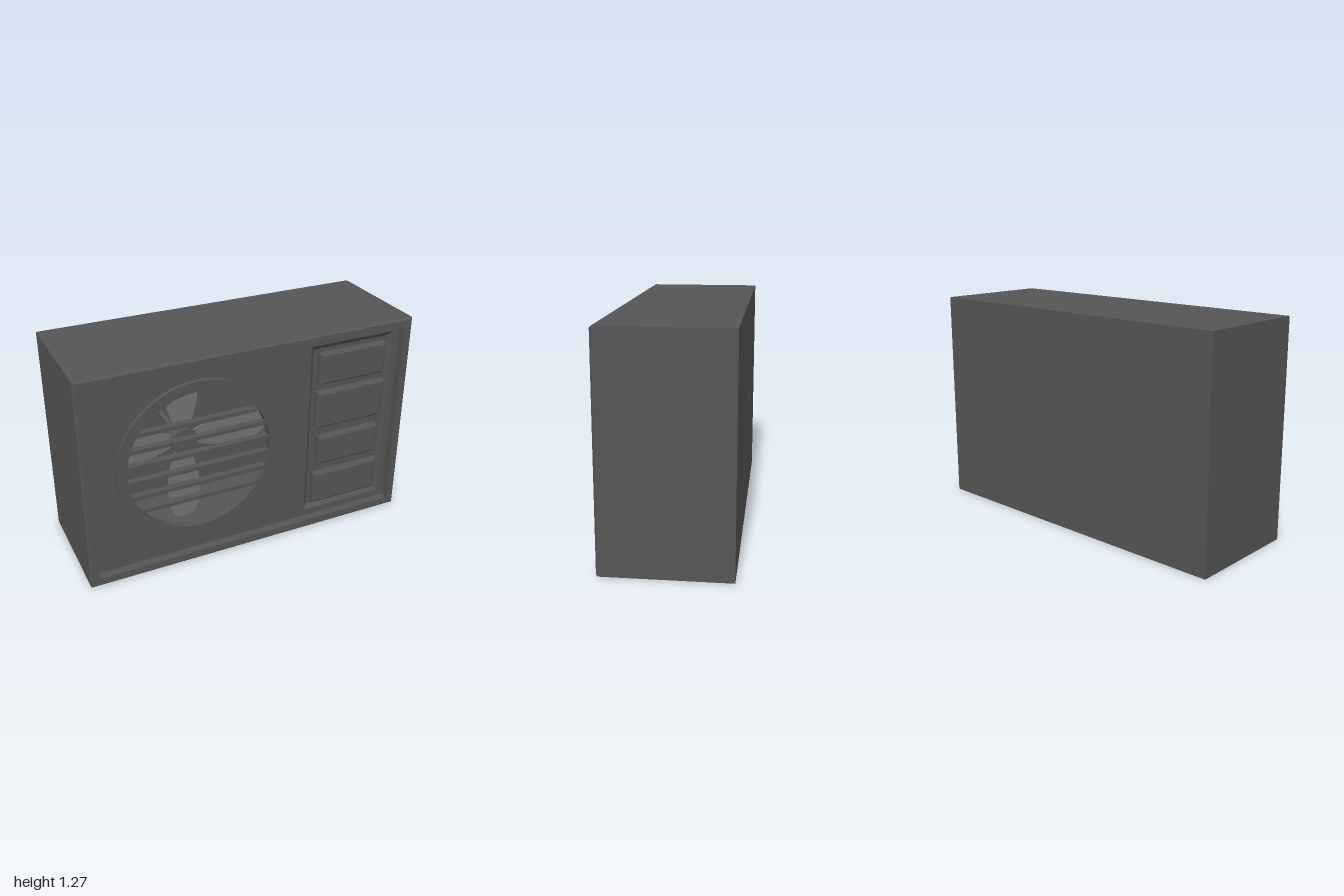
import * as THREE from 'three';

const DARK = new THREE.MeshStandardMaterial({ color: 0x555555, side: THREE.DoubleSide });
const LIGHT = new THREE.MeshStandardMaterial({ color: 0x727272, side: THREE.DoubleSide });

const W = 2, H = 1.27, Z = 0.352;      // case width, height and half depth
const PANEL_Z = 0.302;                 // recessed front panel
const FAN = { x: -0.32, y: 0.643, hole: 0.427, rim: 0.487 };
const VENT = [0.368, 0.908, 0.094, 1.184]; // x0, x1, y0, y1

// Flat-sided loft through [inset, z] steps of a rectangle, optionally capped
function rectLoft([x0, x1, y0, y1], steps, capStart, capEnd) {
  const rings = steps.map(([i, z]) => [
    [x0 + i, y0 + i, z], [x1 - i, y0 + i, z], [x1 - i, y1 - i, z], [x0 + i, y1 - i, z],
  ]);
  const pos = [];
  const quad = (a, b, c, d) => pos.push(...a, ...b, ...c, ...a, ...c, ...d);
  for (let s = 0; s < rings.length - 1; s++) {
    const a = rings[s], b = rings[s + 1];
    for (let k = 0; k < 4; k++) quad(a[k], a[(k + 1) % 4], b[(k + 1) % 4], b[k]);
  }
  if (capStart) quad(...[...rings[0]].reverse());
  if (capEnd) quad(...rings[rings.length - 1]);
  const geo = new THREE.BufferGeometry();
  geo.setAttribute('position', new THREE.Float32BufferAttribute(pos, 3));
  geo.computeVertexNormals();
  return geo;
}

function circlePath(r, x = 0, y = 0) {
  return new THREE.Path().absarc(x, y, r, 0, Math.PI * 2, true);
}

export function createModel() {
  const model = new THREE.Group();
  const add = (name, geo, mat = DARK, parent = model) => {
    const mesh = new THREE.Mesh(geo, mat);
    mesh.name = name;
    parent.add(mesh);
    return mesh;
  };

  // Thin case with a bevelled front rim folding in to the panel
  add('case', rectLoft([-W / 2, W / 2, 0, H],
    [[0, -Z], [0, Z - 0.01], [0.01, Z], [0.052, Z], [0.052, PANEL_Z]], true, false));

  // Front panel with the fan opening and the vent recess cut out
  const [vx0, vx1, vy0, vy1] = VENT;
  const panel = new THREE.Shape([
    new THREE.Vector2(-0.948, 0.052), new THREE.Vector2(0.948, 0.052),
    new THREE.Vector2(0.948, H - 0.052), new THREE.Vector2(-0.948, H - 0.052),
  ]);
  panel.holes.push(circlePath(FAN.hole, FAN.x, FAN.y));
  panel.holes.push(new THREE.Path([
    new THREE.Vector2(vx0, vy0), new THREE.Vector2(vx0, vy1),
    new THREE.Vector2(vx1, vy1), new THREE.Vector2(vx1, vy0),
  ]));
  add('frontPanel', new THREE.ShapeGeometry(panel, 48)).position.z = PANEL_Z;

  // Raised ring around the fan opening
  const ring = new THREE.Shape().absarc(0, 0, FAN.rim, 0, Math.PI * 2, false);
  ring.holes.push(circlePath(FAN.hole));
  add('fanRing', new THREE.ExtrudeGeometry(ring, { depth: 0.045, bevelEnabled: false, curveSegments: 48 }))
    .position.set(FAN.x, FAN.y, PANEL_Z - 0.02);

  // Horizontal slats, each cut to the chord of the opening
  for (let i = 0; i < 6; i++) {
    const y = 0.4 + i * 0.096;
    const half = Math.sqrt(FAN.hole ** 2 - (y - FAN.y) ** 2);
    add('slat', new THREE.BoxGeometry(half * 2 + 0.01, 0.022, 0.04)).position.set(FAN.x, y, PANEL_Z);
  }

  // Fan: four flat paddle blades, hub and axle through the back
  const fan = new THREE.Group();
  fan.name = 'fan';
  fan.position.set(FAN.x, FAN.y, 0);
  model.add(fan);

  const blade = new THREE.Shape();
  blade.moveTo(-0.035, 0.05);
  blade.bezierCurveTo(-0.07, 0.15, -0.095, 0.2, -0.098, 0.3);
  blade.bezierCurveTo(-0.1, 0.42, -0.1, 0.54, 0, 0.54);
  blade.bezierCurveTo(0.1, 0.54, 0.1, 0.42, 0.098, 0.3);
  blade.bezierCurveTo(0.095, 0.2, 0.07, 0.15, 0.035, 0.05);
  const bladeGeo = new THREE.ExtrudeGeometry(blade, { depth: 0.012, bevelEnabled: false, curveSegments: 10 });
  for (let i = 0; i < 4; i++) {
    const mesh = add('blade', bladeGeo, LIGHT, fan);
    mesh.position.z = 0.05;
    mesh.rotation.z = i * Math.PI / 2;
  }
  const hub = add('hub', new THREE.CylinderGeometry(0.08, 0.08, 0.08, 32), DARK, fan);
  hub.rotation.x = Math.PI / 2;
  hub.position.z = 0.06;
  const axle = add('axle', new THREE.CylinderGeometry(0.02, 0.02, 0.386, 16), DARK, fan);
  axle.rotation.x = Math.PI / 2;
  axle.position.z = -0.163;

  // Sunken vent tray with sloping edges
  add('ventTray', rectLoft(VENT, [[0, PANEL_Z], [0.027, PANEL_Z - 0.02]], false, true));

  // Four bevelled blocks standing in the tray
  const blocks = [
    [0.422, 0.856, 0.94, 1.134], [0.414, 0.864, 0.66, 0.893],
    [0.44, 0.843, 0.41, 0.597], [0.417, 0.861, 0.142, 0.348],
  ];
  for (const rect of blocks) {
    add('ventBlock', rectLoft(rect,
      [[0, PANEL_Z - 0.02], [0, PANEL_Z + 0.005], [0.005, PANEL_Z + 0.017], [0.015, PANEL_Z + 0.022]], false, true));
  }
  return model;
}
